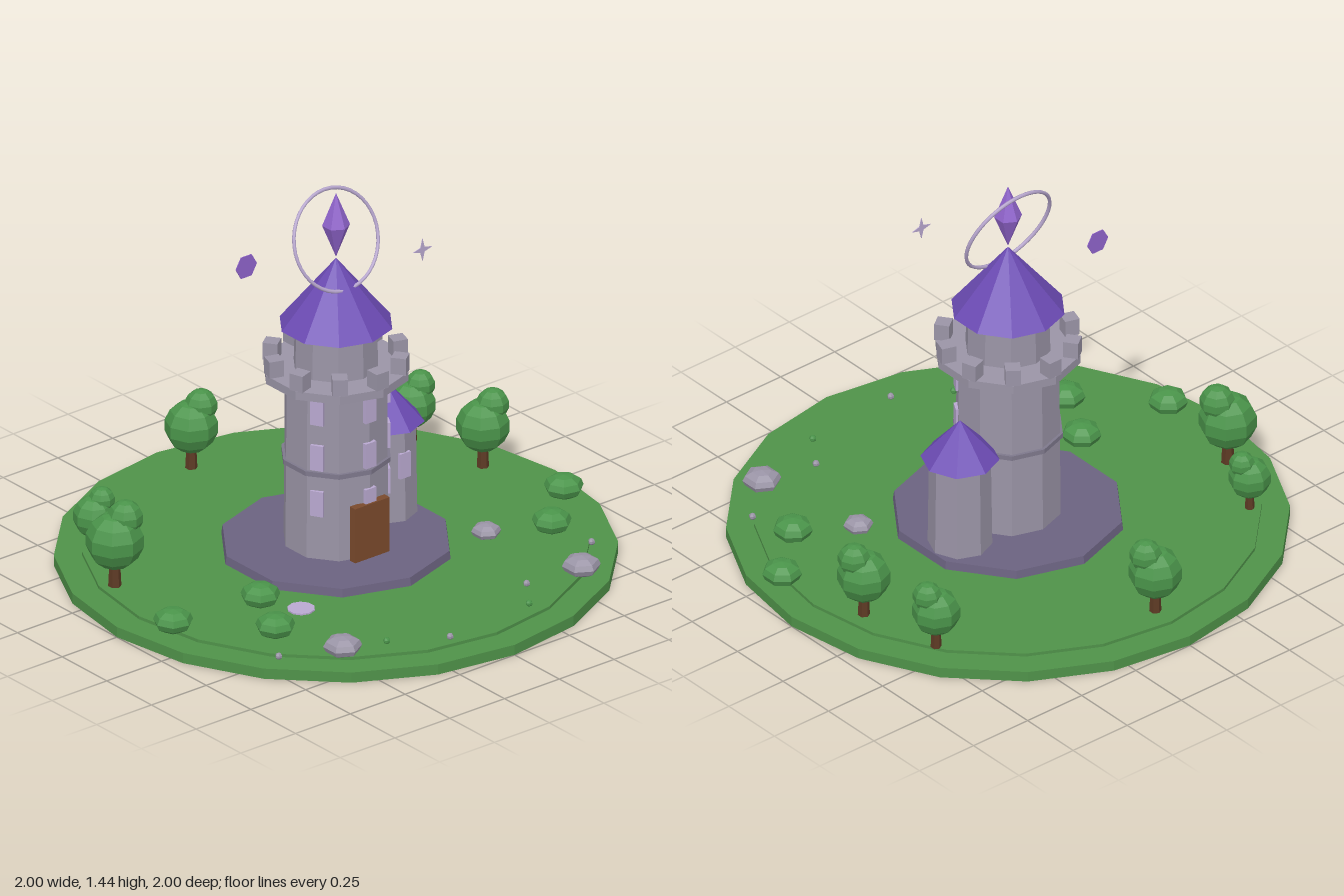
import * as THREE from 'three';

const mat = (name, color) => {
  const m = new THREE.MeshStandardMaterial({ color });
  m.name = name;
  return m;
};

// Faceted normals for the low-poly look
const facet = (g) => {
  const f = g.index ? g.toNonIndexed() : g;
  f.computeVertexNormals();
  return f;
};

export function createModel() {
  const grass = mat('grass', 0x4f9249), foliage = mat('foliage', 0x4a944a);
  const stone = mat('stone', 0x9a94a6), trim = mat('trimStone', 0x7e788c);
  const paving = mat('paving', 0x6b6280), roof = mat('roofPurple', 0x6c4bb4);
  const wood = mat('doorWood', 0x7a4a2c), bark = mat('bark', 0x5d3a24);
  const lilac = mat('lilac', 0xb9a8d0), crystalMat = mat('crystal', 0x9064cc);

  const model = new THREE.Group();
  model.name = 'wizardTower';
  const add = (name, geo, material, x, y, z, parent = model) => {
    const m = new THREE.Mesh(geo, material);
    m.name = name;
    m.position.set(x, y, z);
    parent.add(m);
    return m;
  };
  // Prism or cone standing between heights y0 and y1
  const drum = (name, material, rTop, rBottom, y0, y1, sides, x = 0, z = 0, parent = model) =>
    add(name, facet(new THREE.CylinderGeometry(rTop, rBottom, y1 - y0, sides)), material, x, (y0 + y1) / 2, z, parent);
  const ball = (r, w, h) => facet(new THREE.SphereGeometry(r, w, h));

  // Island and paving
  drum('island', grass, 1, 1, 0, 0.04, 20);
  drum('lawn', grass, 0.9, 0.9, 0.04, 0.052, 20);
  drum('plinth', paving, 0.415, 0.42, 0.05, 0.083, 10);

  // Main tower
  drum('mainTower', stone, 0.187, 0.192, 0.08, 0.74, 10);
  drum('belt', trim, 0.2, 0.2, 0.408, 0.426, 10);
  drum('parapet', stone, 0.265, 0.265, 0.735, 0.767, 10);
  drum('upperTower', stone, 0.15, 0.155, 0.765, 0.935, 10);
  drum('mainRoof', roof, 0, 0.206, 0.93, 1.185, 10);
  for (let i = 0; i < 10; i++) {
    const a = (i / 10) * Math.PI * 2;
    const m = add('merlon', new THREE.BoxGeometry(0.055, 0.065, 0.055), stone,
      Math.sin(a) * 0.235, 0.798, Math.cos(a) * 0.235);
    m.rotation.y = a;
  }

  // Windows in three columns, and the door
  const pane = new THREE.BoxGeometry(0.048, 0.098, 0.024);
  for (const a of [-1.05, 0, 1.05]) for (const y of [0.302, 0.482, 0.66]) {
    const r = a ? 0.18 : 0.185;
    add('window', pane, lilac, Math.sin(a) * r, y, Math.cos(a) * r).rotation.y = a;
  }
  add('door', new THREE.BoxGeometry(0.158, 0.215, 0.03), wood, 0, 0.188, 0.189);

  // Side turret
  drum('sideTurret', stone, 0.11, 0.115, 0.08, 0.445, 8, 0.275, -0.063);
  drum('sideRoof', roof, 0, 0.141, 0.44, 0.597, 8, 0.275, -0.063);
  add('sideWindow', pane, lilac, 0.275, 0.302, 0.04);

  // Crystal with tilted halo
  drum('crystalTop', crystalMat, 0, 0.05, 1.315, 1.44, 6);
  drum('crystalBottom', crystalMat, 0.05, 0, 1.19, 1.315, 6);
  add('halo', new THREE.TorusGeometry(0.185, 0.007, 6, 40), lilac, 0, 1.257, 0).rotation.x = -0.36;

  // Floating thin hexagon and four-pointed star
  const plate = (name, material, radii, count, x, y, z) => {
    const points = [];
    for (let i = 0; i < count; i++) {
      const a = (i / count) * Math.PI * 2, r = radii[i % radii.length];
      points.push(new THREE.Vector2(Math.cos(a) * r, Math.sin(a) * r));
    }
    add(name, new THREE.ExtrudeGeometry(new THREE.Shape(points), { depth: 0.003, bevelEnabled: false }), material, x, y, z);
  };
  plate('floatingHexagon', crystalMat, [0.048], 6, -0.275, 1.173, -0.167);
  plate('floatingStar', lilac, [0.043, 0.013], 8, 0.21, 1.238, 0.225);

  // Trees: x, z, scale
  for (const [x, z, s] of [[0, -0.81, 0.92], [-0.68, -0.52, 0.73], [-0.81, -0.245, 1], [0.74, -0.485, 0.83], [0.805, -0.165, 0.92]]) {
    const tree = new THREE.Group();
    tree.name = 'tree';
    tree.position.set(x, 0.05, z);
    tree.scale.setScalar(s);
    model.add(tree);
    drum('trunk', bark, 0.018, 0.024, 0, 0.12, 6, 0, 0, tree);
    add('crown', ball(0.106, 8, 7), foliage, 0, 0.18, 0, tree);
    add('crownTop', ball(0.065, 8, 7), foliage, 0.036, 0.265, 0.015, tree);
  }

  // Bushes: x, z
  for (const [x, z] of [[-0.87, 0.155], [-0.5, 0.19], [-0.615, 0.415], [0.675, 0.38], [0.885, 0.19]])
    add('bush', ball(0.072, 7, 6), foliage, x, 0.086, z).scale.y = 0.62;

  // Boulders: x, z, radius
  for (const [x, z, r] of [[-0.52, 0.675, 0.07], [0.465, 0.27, 0.054], [0.545, 0.705, 0.07]]) {
    const b = add('boulder', ball(r, 6, 6), stone, x, 0.05 + r * 0.35, z);
    b.scale.y = 0.55;
    b.rotation.y = Math.PI / 6;
  }

  // Stepping disc, pebbles and sprouts
  drum('steppingDisc', lilac, 0.05, 0.05, 0.05, 0.058, 10, -0.42, 0.32);
  for (const [x, z] of [[-0.73, 0.575], [-0.16, 0.835], [0.32, 0.675], [0.71, 0.56]])
    add('pebble', ball(0.013, 6, 5), stone, x, 0.06, z);
  for (const [x, z] of [[-0.355, 0.72], [0.225, 0.805]])
    add('sprout', ball(0.013, 6, 5), foliage, x, 0.06, z);

  return model;
}
